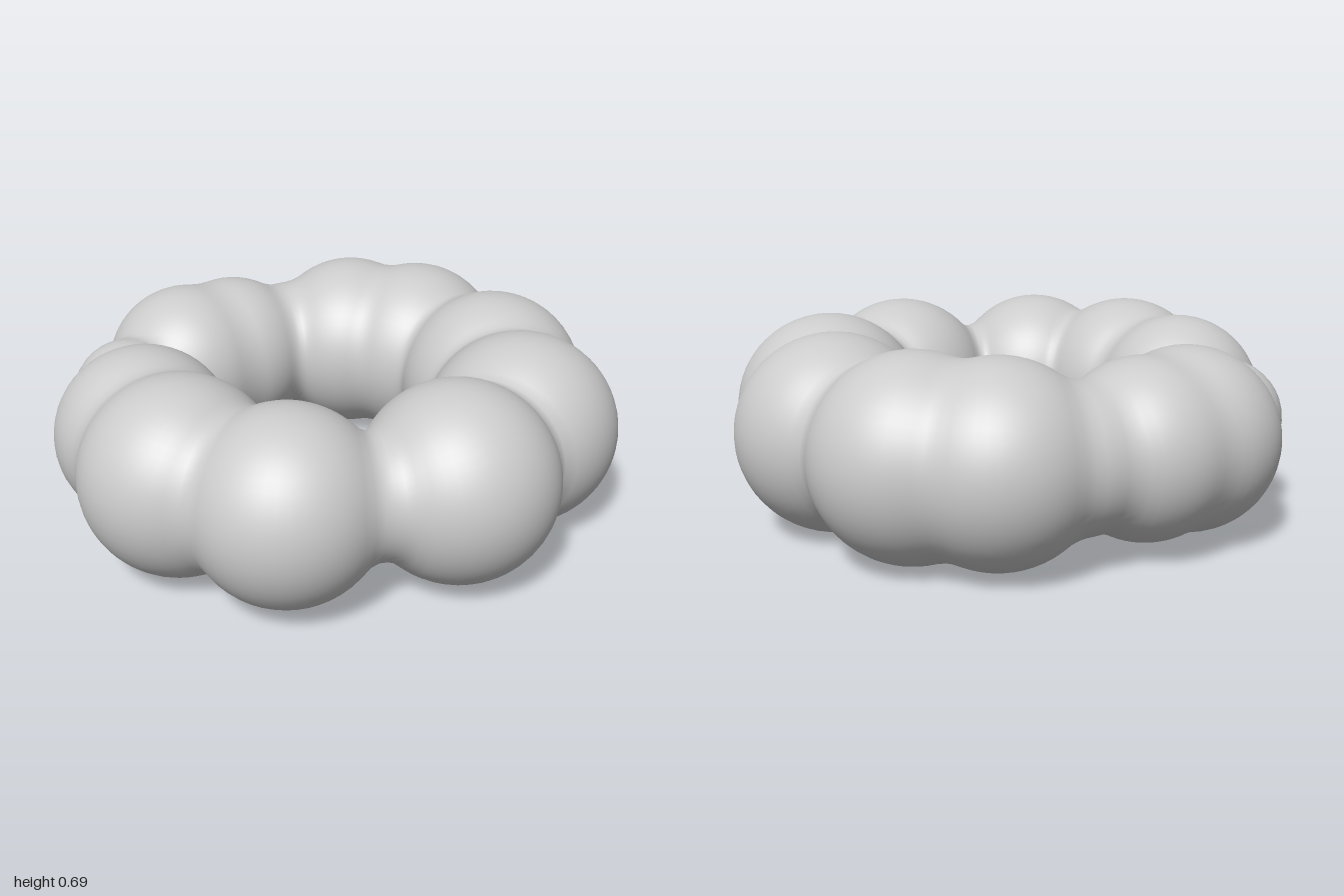
import * as THREE from 'three';

// Lobes of the ring: x, z, radius
const LOBES = [
  [0.25, 0.62, 0.338], [0.6, 0.32, 0.343], [0.655, -0.08, 0.343],
  [0.48, -0.47, 0.343], [0.25, -0.62, 0.338], [0, -0.65, 0.25],
  [-0.25, -0.61, 0.305], [-0.44, -0.54, 0.315], [-0.7, -0.32, 0.21],
  [-0.685, 0.02, 0.315], [-0.61, 0.34, 0.338], [-0.32, 0.62, 0.328],
  [-0.03, 0.655, 0.205],
];
const CORE = 0.66, HEIGHT = 0.35, BLEND = 0.035;

// Signed distance to the softly blended lobes
function field(x, y, z) {
  let d = 1e3;
  for (const [cx, cz, r] of LOBES) {
    const s = Math.hypot(x - cx, y, z - cz) - r;
    const h = Math.max(BLEND - Math.abs(d - s), 0) / BLEND;
    d = Math.min(d, s) - h * h * BLEND / 4;
  }
  return d;
}

// Closed ring: each vertex is moved out from the core circle to the blended surface
function lumpyRing(around, section) {
  const pos = [], index = [];
  for (let i = 0; i < around; i++) {
    const t = (i / around) * Math.PI * 2;
    for (let j = 0; j < section; j++) {
      const p = (j / section) * Math.PI * 2;
      const at = (d) => {
        const r = CORE + d * Math.cos(p);
        return [r * Math.cos(t), d * Math.sin(p), r * Math.sin(t)];
      };
      let d = 0.5;
      for (let k = 0; k < 60; k++) d = Math.max(0.05, d - field(...at(d)) * 0.9);
      const [x, y, z] = at(d);
      pos.push(x, y + HEIGHT, z);
      const i2 = (i + 1) % around, j2 = (j + 1) % section;
      const a = i * section + j, b = i * section + j2;
      const c = i2 * section + j, e = i2 * section + j2;
      index.push(a, b, c, b, e, c);
    }
  }
  const geo = new THREE.BufferGeometry();
  geo.setAttribute('position', new THREE.Float32BufferAttribute(pos, 3));
  geo.setIndex(index);
  geo.computeVertexNormals();
  return geo;
}

export function createModel() {
  const group = new THREE.Group();
  group.name = 'lumpyRingModel';
  const ring = new THREE.Mesh(
    lumpyRing(160, 56),
    new THREE.MeshStandardMaterial({ color: 0xcccccc })
  );
  ring.name = 'ring';
  group.add(ring);
  return group;
}
